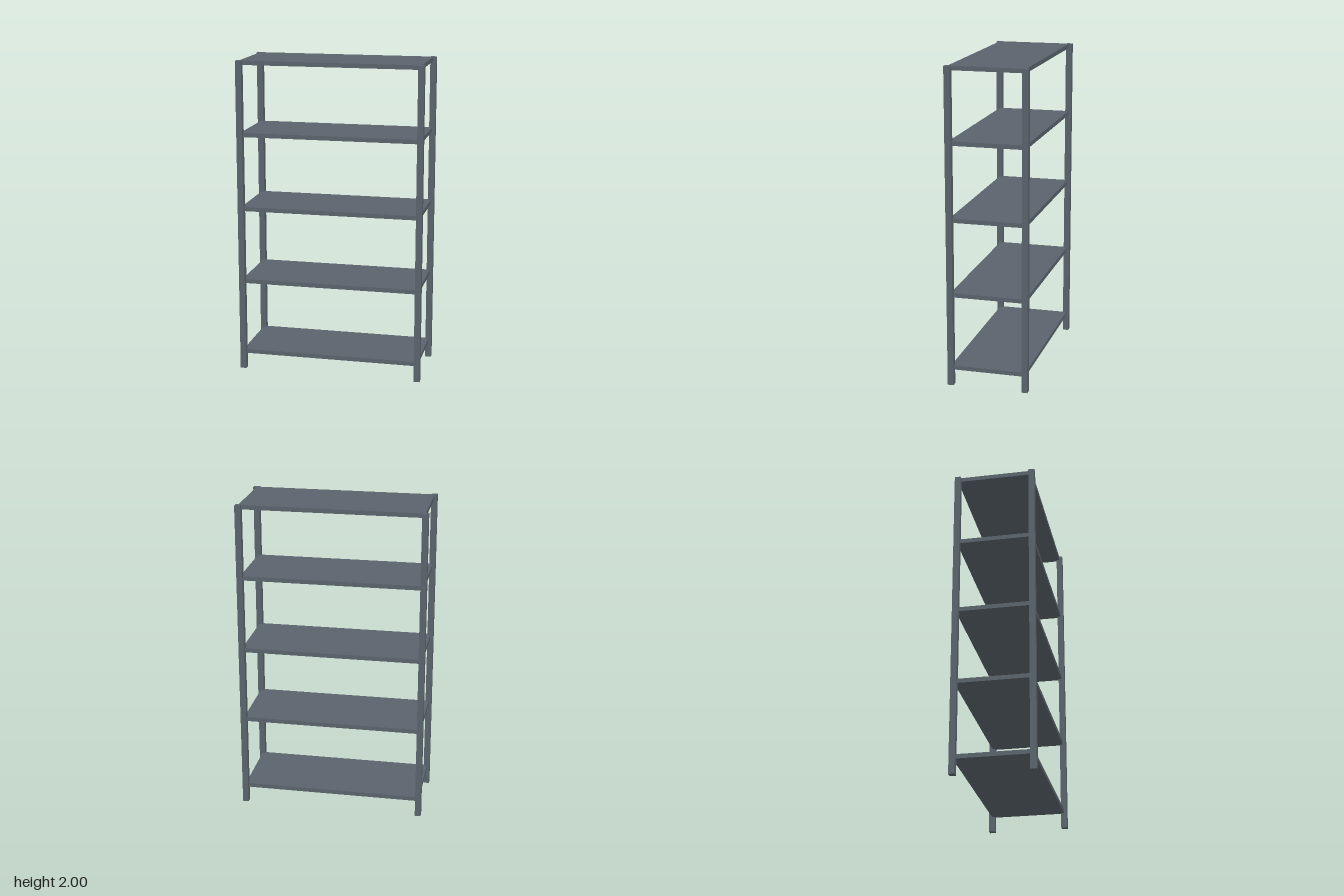
import * as THREE from 'three';

export function createModel() {
  const model = new THREE.Group();
  model.name = 'shelvingUnit';
  const steel = new THREE.MeshStandardMaterial({ color: 0x5a646d });
  steel.name = 'slate grey steel';

  const halfWidth = 0.57, halfDepth = 0.238, height = 2;
  const post = 0.038, thickness = 0.027;

  function addBox(name, w, h, d, x, y, z) {
    const mesh = new THREE.Mesh(new THREE.BoxGeometry(w, h, d), steel);
    mesh.name = name;
    mesh.position.set(x, y, z);
    model.add(mesh);
  }

  // Square corner posts, centred on the shelf corners
  for (const [side, sx] of [['Left', 1], ['Right', -1]])
    for (const [end, sz] of [['front', 1], ['back', -1]])
      addBox(`${end}${side}Post`, post, height, post, sx * halfWidth, height / 2, sz * halfDepth);

  // Five shelves, the highest flush with the post tops
  const tops = [0.125, 0.599, 1.074, 1.549, height];
  tops.forEach((top, i) =>
    addBox(`shelf${i + 1}`, 2 * halfWidth, thickness, 2 * halfDepth, 0, top - thickness / 2, 0));

  return model;
}
